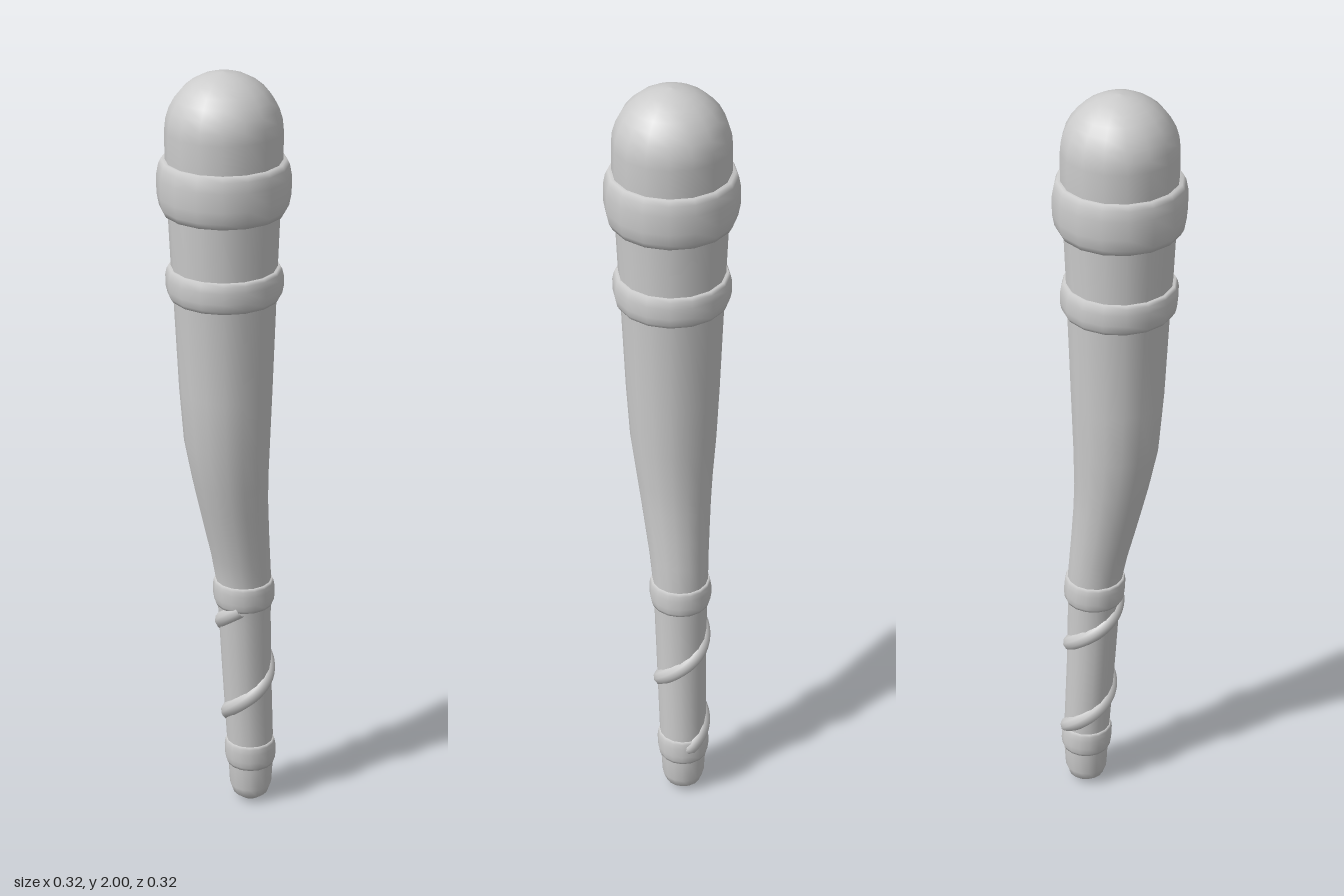
import * as THREE from 'three';

const SIDES = 16;
const material = new THREE.MeshStandardMaterial({ color: 0xcccccc });

// Stations of the bent shaft: height, centre x, radius
const STATIONS = [
  [0.0, 0.094, 0.0], [0.004, 0.094, 0.026], [0.02, 0.094, 0.046], [0.045, 0.094, 0.055],
  [0.1, 0.094, 0.058], [0.2, 0.09, 0.061], [0.4, 0.078, 0.064], [0.55, 0.071, 0.067],
  [0.66, 0.066, 0.071], [0.73, 0.056, 0.075], [0.8, 0.044, 0.081], [0.88, 0.031, 0.088],
  [0.95, 0.021, 0.095], [1.06, 0.01, 0.107], [1.2, 0.006, 0.115], [1.44, 0.003, 0.125],
  [1.52, 0.001, 0.129], [1.66, 0.0, 0.135], [1.79, 0.0, 0.141], [1.86, 0.0, 0.141],
];
// Rounded top of the head
for (let i = 1; i <= 8; i++) {
  const a = (i / 8) * Math.PI / 2;
  STATIONS.push([1.86 + 0.14 * Math.sin(a), 0, 0.141 * Math.cos(a)]);
}

// Centre and radius of the shaft at a height
function shaftAt(y) {
  let i = 0;
  while (i < STATIONS.length - 2 && STATIONS[i + 1][0] < y) i++;
  const [y0, x0, r0] = STATIONS[i];
  const [y1, x1, r1] = STATIONS[i + 1];
  const t = THREE.MathUtils.clamp((y - y0) / (y1 - y0), 0, 1);
  const x = THREE.MathUtils.lerp(x0, x1, t);
  return { x, z: -0.17 * x, r: THREE.MathUtils.lerp(r0, r1, t) };
}

// Smooth skin through [height, radius] rings that follow the bend
function loft(name, rings) {
  const positions = [];
  const index = [];
  rings.forEach(([y, r], j) => {
    const c = shaftAt(y);
    for (let i = 0; i < SIDES; i++) {
      const a = ((i + 0.5) / SIDES) * Math.PI * 2;
      positions.push(c.x + r * Math.cos(a), y, c.z - r * Math.sin(a));
      if (j === rings.length - 1) continue;
      const p = j * SIDES + i;
      const q = j * SIDES + (i + 1) % SIDES;
      index.push(p, q, p + SIDES, q, q + SIDES, p + SIDES);
    }
  });
  const geometry = new THREE.BufferGeometry();
  geometry.setAttribute('position', new THREE.Float32BufferAttribute(positions, 3));
  geometry.setIndex(index);
  geometry.computeVertexNormals();
  const mesh = new THREE.Mesh(geometry, material);
  mesh.name = name;
  return mesh;
}

// Rounded collar between two heights
function band(name, y0, y1, r, round) {
  const h = y1 - y0;
  return loft(name, [
    [y0 + 0.03 * h, r - round - 0.02], [y0, r - round], [y0 + 0.12 * h, r - 0.4 * round],
    [y0 + 0.35 * h, r], [y0 + 0.7 * h, r], [y0 + 0.9 * h, r - 0.35 * round],
    [y1, r - 0.8 * round], [y1 - 0.02 * h, r - round - 0.02],
  ]);
}

// Cord winding up the grip from the lower collar to the middle one
function gripCord() {
  const points = [];
  const turn = Math.PI * 3.3;
  for (let i = 0; i <= 40; i++) {
    const a = (i / 40) * turn - 0.1;
    const y = 0.145 + 0.0435 * (i / 40) * turn;
    const c = shaftAt(y);
    const r = c.r - 0.011 - (i === 0 ? 0.012 : 0);
    points.push(new THREE.Vector3(c.x + r * Math.cos(a), y, c.z - r * Math.sin(a)));
  }
  const path = new THREE.CatmullRomCurve3(points);
  const mesh = new THREE.Mesh(new THREE.TubeGeometry(path, 96, 0.022, 10), material);
  mesh.name = 'gripCord';
  return mesh;
}

export function createModel() {
  const group = new THREE.Group();
  group.name = 'club';
  group.add(
    loft('shaft', STATIONS.map(([y, , r]) => [y, r])),
    band('headBand', 1.66, 1.79, 0.161, 0.014),
    band('neckBand', 1.443, 1.522, 0.143, 0.01),
    band('gripTopBand', 0.59, 0.66, 0.079, 0.006),
    band('gripBottomBand', 0.11, 0.182, 0.067, 0.006),
    gripCord(),
  );
  return group;
}
